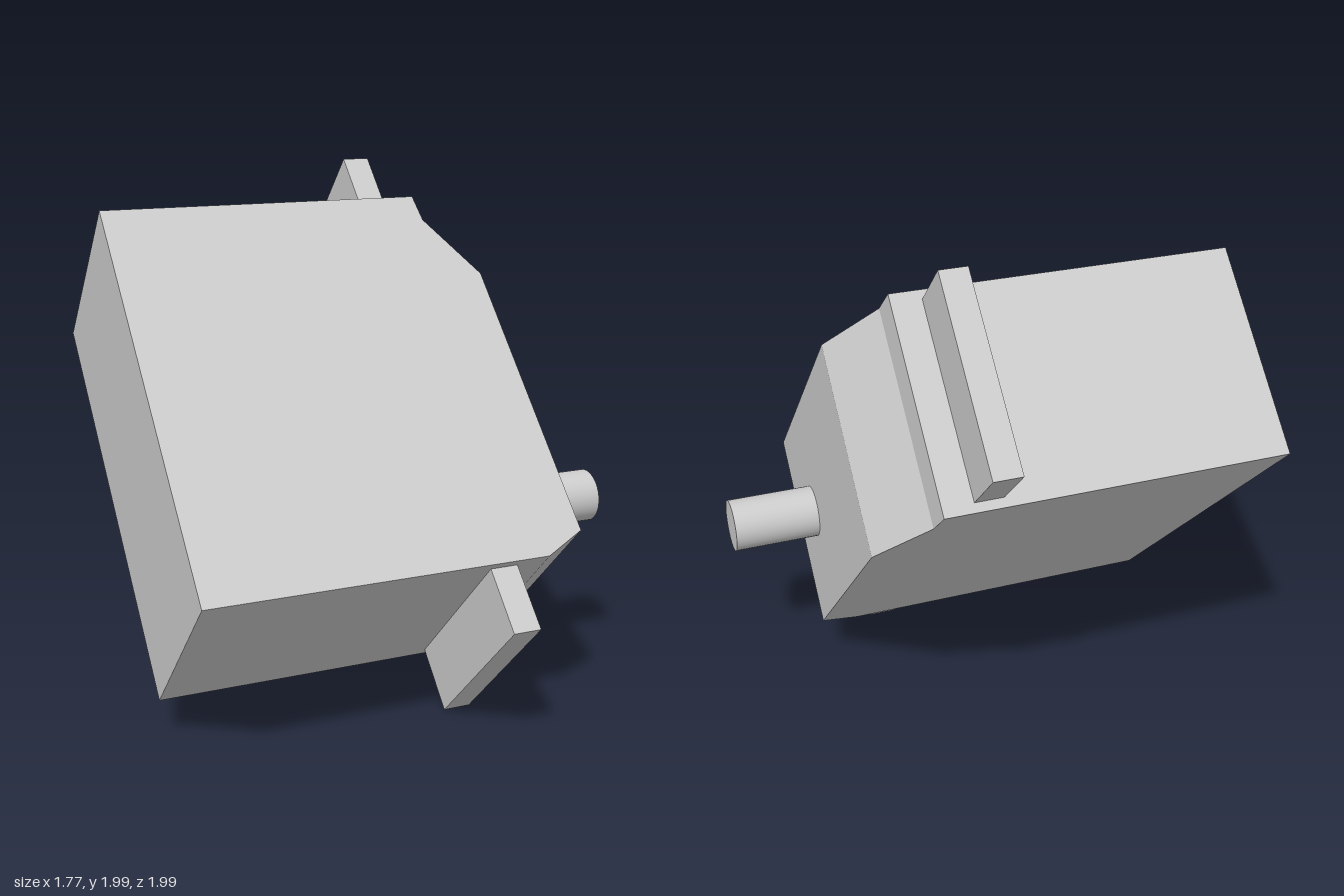
import * as THREE from 'three';

export function createModel() {
  const model = new THREE.Group();
  model.name = 'tiltedHousing';
  const flat = new THREE.MeshStandardMaterial({ color: 0xcccccc, flatShading: true });
  const smooth = new THREE.MeshStandardMaterial({ color: 0xcccccc });

  // Everything is built upright, then leaned back by 45 degrees
  const tilt = new THREE.Group();
  tilt.name = 'tiltedAssembly';
  tilt.rotation.x = -Math.PI / 4;
  model.add(tilt);

  const add = (name, geometry, material, x, y, z) => {
    const mesh = new THREE.Mesh(geometry, material);
    mesh.name = name;
    mesh.position.set(x, y, z);
    tilt.add(mesh);
    return mesh;
  };

  const backZ = 0.316, frontZ = 1.107, midZ = (backZ + frontZ) / 2;
  const bottomY = -0.095, topY = 1.523;

  // Body: slab with two cut corners on its left side
  const outline = new THREE.Shape([
    [-0.885, bottomY], [0.39, bottomY], [0.55, -0.016],
    [0.555, 1.127], [0.395, 1.403], [0.387, topY], [-0.885, topY],
  ].map(([x, y]) => new THREE.Vector2(x, y)));
  add('body', new THREE.ExtrudeGeometry(outline, { depth: frontZ - backZ, bevelEnabled: false }),
    flat, 0, 0, backZ);

  // Mounting tabs above and below, rooted slightly inside the body
  const root = 0.02;
  for (const [name, inner, outer] of [
    ['upperTab', topY - root, 1.757],
    ['lowerTab', bottomY + root, -0.343],
  ]) {
    add(name, new THREE.BoxGeometry(0.105, Math.abs(outer - inner), 0.721),
      flat, 0.2225, (inner + outer) / 2, midZ);
  }

  // Shaft sticking out of the left side
  const shaftStart = 0.53, shaftEnd = 0.885;
  const shaft = add('shaft', new THREE.CylinderGeometry(0.102, 0.102, shaftEnd - shaftStart, 32),
    smooth, (shaftStart + shaftEnd) / 2, 0.3, midZ);
  shaft.rotation.z = -Math.PI / 2;

  return model;
}
